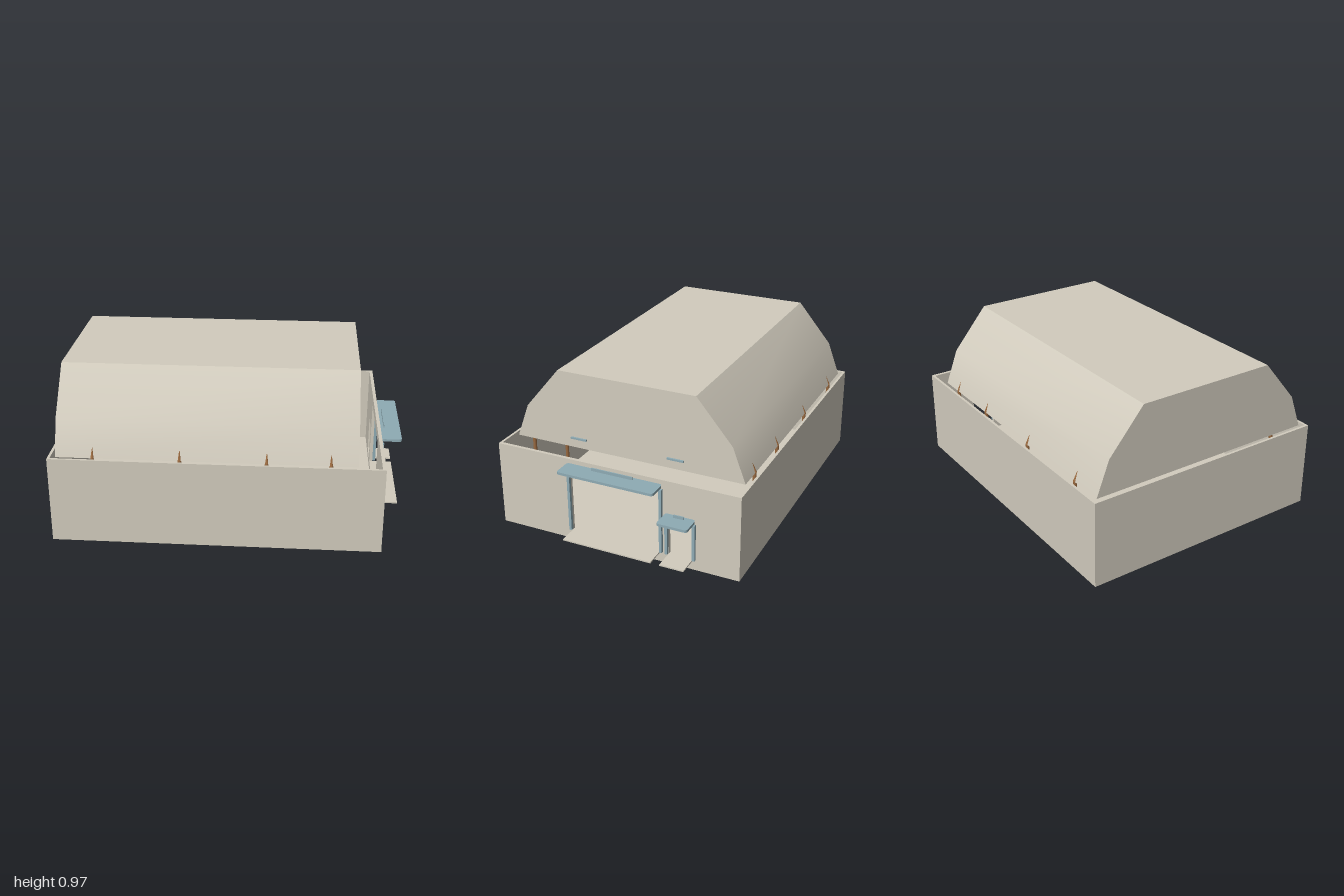
import * as THREE from 'three';
import { toCreasedNormals } from 'three/addons/utils/BufferGeometryUtils.js';

export function createModel() {
  const root = new THREE.Group();
  const stone = new THREE.MeshStandardMaterial({ color: 0xd2ccbe });
  stone.name = 'warm grey';
  const blue = new THREE.MeshStandardMaterial({ color: 0x8eabb4 });
  blue.name = 'dusty blue';
  const wood = new THREE.MeshStandardMaterial({ color: 0x9a6a40 });
  wood.name = 'brown';

  const add = (name, geo, mat, parent = root) => {
    const m = new THREE.Mesh(geo, mat);
    m.name = name;
    parent.add(m);
    return m;
  };
  // Box given by its limits on each axis
  const box = (name, mat, x0, x1, y0, y1, z0, z1, parent) => {
    const m = add(name, new THREE.BoxGeometry(x1 - x0, y1 - y0, z1 - z0), mat, parent);
    m.position.set((x0 + x1) / 2, (y0 + y1) / 2, (z0 + z1) / 2);
    return m;
  };
  // Outline drawn in (-z, y) and extruded along x from x0 to x1
  const alongX = (shape, x0, x1) =>
    new THREE.ExtrudeGeometry(shape, { depth: x1 - x0, bevelEnabled: false })
      .rotateY(Math.PI / 2).translate(x0, 0, 0);
  const rect = (Type, a0, a1, b0, b1) => new Type(
    [[a0, b0], [a1, b0], [a1, b1], [a0, b1]].map(p => new THREE.Vector2(...p)));

  // Open tray: floor and four thin walls, the right one with two openings
  const tray = new THREE.Group();
  tray.name = 'tray';
  root.add(tray);
  const H = 0.515;
  box('floor', stone, -1, 0.88, 0, 0.02, -0.75, 0.75, tray);
  box('leftEndWall', stone, -1, -0.985, 0.02, H, -0.75, 0.75, tray);
  for (const s of [1, -1])
    box('sideWall', stone, -0.985, 0.86, 0.02, H, s > 0 ? 0.735 : -0.75, s > 0 ? 0.75 : -0.735, tray);
  const endWall = rect(THREE.Shape, -0.75, 0.75, 0.02, H);
  endWall.holes.push(rect(THREE.Path, -0.28, 0.28, 0.06, 0.46));
  endWall.holes.push(rect(THREE.Path, 0.33, 0.475, 0.06, 0.285));
  add('doorWall', alongX(endWall, 0.86, 0.88), stone, tray);

  // Hood: thin shell over the tray, open below, closed at both ends
  const hood = new THREE.Group();
  hood.name = 'hood';
  root.add(hood);
  const half = [[0.712, 0.51], [0.635, 0.715], [0.422, 0.968]];
  const outer = [...half, ...half.map(([z, y]) => [-z, y]).reverse()]
    .map(p => new THREE.Vector2(...p));
  const inner = outer.map(p => new THREE.Vector2(
    p.x - Math.sign(p.x) * 0.01, p.y > 0.6 ? p.y - 0.008 : p.y));
  const shell = new THREE.Shape([...outer, ...inner.slice().reverse()]);
  add('hoodShell', toCreasedNormals(alongX(shell, -0.96, 0.73), 0.5), stone, hood);
  for (const x of [-0.96, 0.72])
    add('hoodEnd', alongX(new THREE.Shape(outer), x, x + 0.01), stone, hood);
  for (const z of [-0.302, 0.302])
    box('hoodHandle', blue, 0.73, 0.741, 0.564, 0.574, z - 0.05, z + 0.05, hood);

  // Upright stakes with pointed tips leaning against the hood
  for (const x of [-0.75, -0.26, 0.225, 0.58]) {
    for (const s of [1, -1]) {
      const stake = new THREE.Group();
      stake.name = 'stake';
      stake.position.set(x, 0, s * 0.706);
      root.add(stake);
      const post = add('stakePost', new THREE.CylinderGeometry(0.011, 0.011, 0.49, 8), wood, stake);
      post.position.y = 0.265;
      const tip = add('stakeTip', new THREE.ConeGeometry(0.011, 0.08, 8), wood, stake);
      tip.position.set(0, 0.546, -s * 0.011);
      tip.rotation.x = -s * 0.32;
    }
  }

  // Framed opening: posts, rounded canopy with ridge bar, header and sill
  const opening = (name, z, halfWidth, top, barHalf) => {
    const g = new THREE.Group();
    g.name = name;
    g.position.z = z;
    root.add(g);
    const w = halfWidth, r = 0.018;
    for (const s of [1, -1])
      box('post', blue, 0.88, 0.898, 0.065, top - 0.03, s * (w - 0.008) - 0.008, s * (w - 0.008) + 0.008, g);
    const s = new THREE.Shape();
    s.moveTo(0.882 + r, -w);
    s.lineTo(1 - r, -w);
    s.quadraticCurveTo(1, -w, 1, -w + r);
    s.lineTo(1, w - r);
    s.quadraticCurveTo(1, w, 1 - r, w);
    s.lineTo(0.882 + r, w);
    s.quadraticCurveTo(0.882, w, 0.882, w - r);
    s.lineTo(0.882, -w + r);
    s.quadraticCurveTo(0.882, -w, 0.882 + r, -w);
    const slab = new THREE.ExtrudeGeometry(s, { depth: 0.015, bevelEnabled: false, curveSegments: 5 });
    add('canopy', slab.rotateX(Math.PI / 2).translate(0, top, 0), blue, g);
    box('canopyBracket', blue, 0.9, 0.94, top - 0.021, top - 0.015, -barHalf, barHalf, g);
    box('canopyBar', blue, 0.902, 0.909, top, top + 0.017, -barHalf, barHalf, g);
    box('header', stone, 0.88, 0.89, top - 0.03, top - 0.015, -w + 0.015, w - 0.015, g);
    box('sill', stone, 0.86, 1, 0.055, 0.063, -w + 0.018, w - 0.018, g);
  };
  opening('largeOpening', 0, 0.294, 0.49, 0.126);
  opening('smallOpening', -0.402, 0.09, 0.318, 0.031);

  return root;
}
